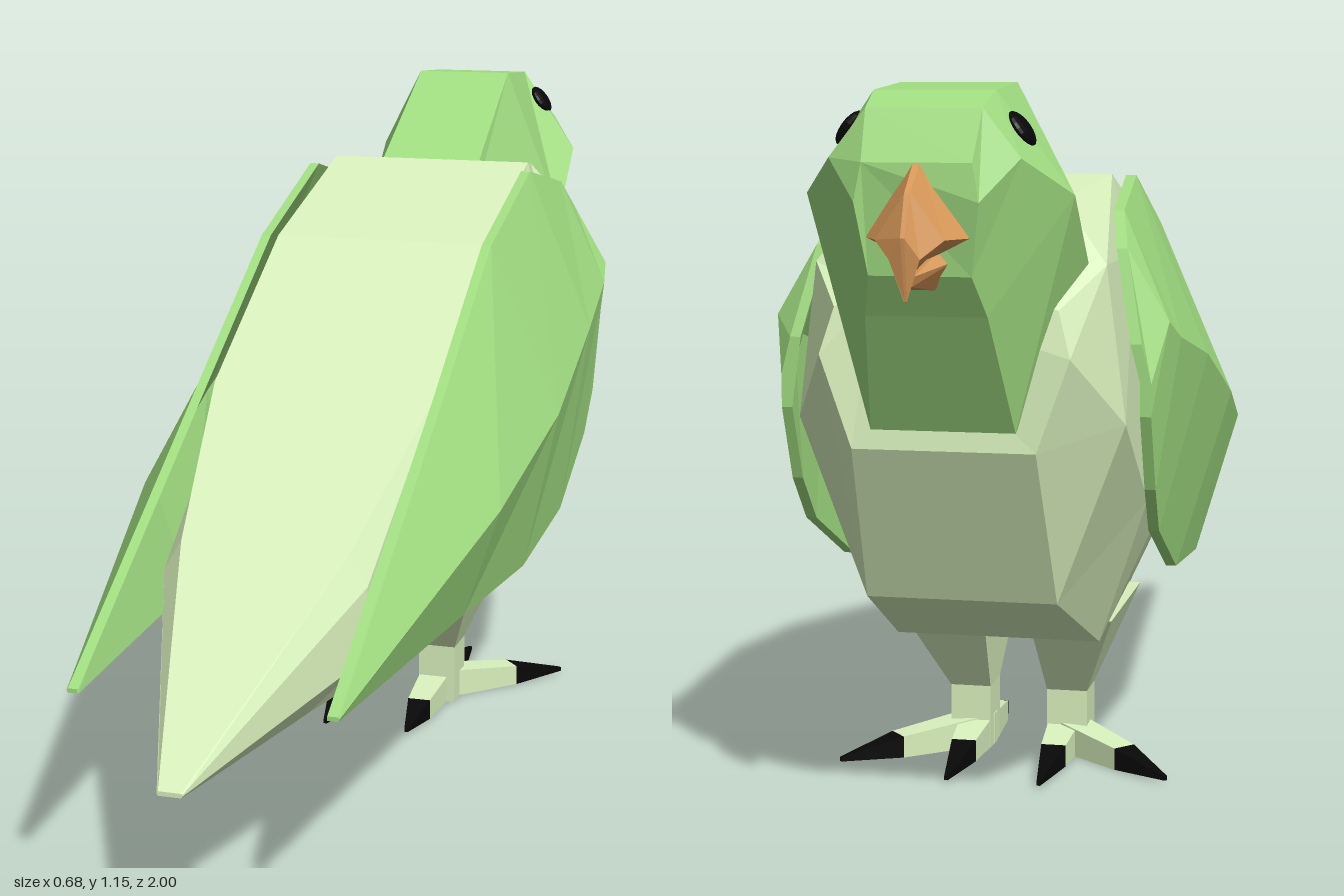
import * as THREE from 'three';

const paint = (color) => new THREE.MeshStandardMaterial({ color, flatShading: true, side: THREE.DoubleSide });
const PALE = paint(0xd8f0bc), GREEN = paint(0xa0dc80), ORANGE = paint(0xd89858), BLACK = paint(0x080808);

// Skin a list of equal-length rings with flat facets and close both ends.
function loft(name, rings, material) {
  const pos = [];
  const n = rings[0].length;
  const tri = (...pts) => pts.forEach((p) => pos.push(...p));
  for (let i = 0; i < rings.length - 1; i++) {
    for (let j = 0; j < n; j++) {
      const k = (j + 1) % n;
      const a = rings[i][j], b = rings[i][k], c = rings[i + 1][k], d = rings[i + 1][j];
      tri(a, d, c);
      tri(a, c, b);
    }
  }
  const first = rings[0], last = rings[rings.length - 1];
  for (let j = 1; j < n - 1; j++) {
    tri(first[0], first[j], first[j + 1]);
    tri(last[0], last[j + 1], last[j]);
  }
  const geometry = new THREE.BufferGeometry();
  geometry.setAttribute('position', new THREE.Float32BufferAttribute(pos, 3));
  geometry.computeVertexNormals();
  const mesh = new THREE.Mesh(geometry, material);
  mesh.name = name;
  return mesh;
}

const flip = ([x, y, z]) => [-x, y, z];
// Complete half sections (listed top to bottom on +x) into closed rings.
const whole = (halves) => halves.map((h) => [...h, ...h.map(flip).reverse()]);
// Mirror rings to the other side, keeping the winding outward.
const sided = (rings, s) => (s > 0 ? rings : rings.map((r) => r.map(flip).reverse()));

// Rectangular ring across z, standing on y0
const box = (w, y0, y1, z) => [[-w, y1, z], [w, y1, z], [w, y0, z], [-w, y0, z]];

function makeToe(name, length, clawLength, angle) {
  const toe = new THREE.Group();
  toe.name = name;
  const joint = clawLength - length;
  toe.add(loft('claw', [box(0.003, 0.005, 0.012, -length), box(0.021, 0, 0.037, joint)], BLACK));
  toe.add(loft('toeBone', [box(0.021, 0, 0.037, joint), box(0.03, 0, 0.055, 0.01)], PALE));
  toe.rotation.y = angle;
  return toe;
}

function makeLeg(s) {
  const leg = new THREE.Group();
  leg.name = s > 0 ? 'leftLeg' : 'rightLeg';
  const level = (y, x0, x1, z0, z1) => [[x0, y, z0], [x1, y, z0], [x1, y, z1], [x0, y, z1]];
  const rings = [
    level(0, 0.05, 0.12, -0.235, -0.16),
    level(0.11, 0.05, 0.12, -0.235, -0.16),
    level(0.26, 0.038, 0.18, -0.34, -0.03),
  ];
  leg.add(loft('shank', sided(rings, s), PALE));
  const foot = new THREE.Group();
  foot.name = 'foot';
  foot.position.set(s * 0.078, 0, -0.2);
  foot.add(
    makeToe('frontToe', 0.25, 0.13, 0),
    makeToe('outerToe', 0.27, 0.11, -s * 0.84),
    makeToe('backToe', 0.23, 0.09, Math.PI),
  );
  leg.add(foot);
  return leg;
}

// Folded wing: a thin curved shell from shoulder to tip
function makeWing(s) {
  const stations = [ // z, then y and x of top rim, ridge and bottom rim
    [-0.64, 0.76, 0.275, 0.70, 0.29, 0.65, 0.29],
    [-0.59, 0.90, 0.245, 0.79, 0.31, 0.53, 0.29],
    [-0.53, 0.955, 0.23, 0.76, 0.32, 0.455, 0.287],
    [-0.32, 1.0, 0.215, 0.71, 0.335, 0.355, 0.285],
    [-0.03, 0.905, 0.213, 0.61, 0.34, 0.325, 0.28],
    [0.3, 0.70, 0.215, 0.52, 0.315, 0.335, 0.255],
    [0.87, 0.355, 0.213, 0.352, 0.215, 0.348, 0.213],
  ];
  const t = 0.017;
  const rings = stations.map(([z, yt, xt, ym, xm, yb, xb]) => [
    [xt - t, yt, z], [xt, yt, z], [xm, ym, z], [xb, yb, z], [xb - t, yb, z], [xm - t, ym, z],
  ]);
  return loft(s > 0 ? 'leftWing' : 'rightWing', sided(rings, s), GREEN);
}

function makeEye(s) {
  const eye = new THREE.Mesh(new THREE.SphereGeometry(0.033, 16, 10), BLACK);
  eye.name = s > 0 ? 'leftEye' : 'rightEye';
  eye.scale.set(0.35, 0.9, 1);
  eye.position.set(s * 0.127, 1.085, -0.807);
  eye.rotation.z = s * 0.63;
  return eye;
}

export function createModel() {
  const bird = new THREE.Group();
  bird.name = 'bird';

  // Body and tail, from chest to tail tip
  bird.add(loft('body', whole([
    [[0.11, 0.84, -0.75], [0.17, 0.82, -0.755], [0.19, 0.75, -0.77], [0.14, 0.61, -0.775]],
    [[0.15, 0.975, -0.62], [0.225, 0.88, -0.66], [0.255, 0.64, -0.66], [0.15, 0.36, -0.66]],
    [[0.19, 1.005, -0.41], [0.225, 0.88, -0.41], [0.25, 0.48, -0.41], [0.17, 0.24, -0.4]],
    [[0.195, 0.9, -0.07], [0.22, 0.78, -0.07], [0.23, 0.42, -0.07], [0.14, 0.21, -0.07]],
    [[0.195, 0.7, 0.27], [0.2, 0.61, 0.27], [0.2, 0.38, 0.27], [0.11, 0.223, 0.27]],
    [[0.14, 0.51, 0.58], [0.17, 0.46, 0.58], [0.175, 0.35, 0.58], [0.07, 0.24, 0.58]],
    [[0.018, 0.265, 1], [0.02, 0.263, 1], [0.02, 0.261, 1], [0.018, 0.258, 1]],
  ]), PALE));

  // Head and neck, from face to nape
  bird.add(loft('head', whole([
    [[0.08, 1.04, -0.92], [0.09, 0.985, -0.925], [0.075, 0.88, -0.905]],
    [[0.085, 1.115, -0.875], [0.14, 1.045, -0.875], [0.09, 0.82, -0.87]],
    [[0.09, 1.14, -0.81], [0.2, 0.99, -0.785], [0.11, 0.64, -0.775]],
    [[0.09, 1.15, -0.66], [0.2, 0.87, -0.66], [0.15, 0.8, -0.72]],
    [[0.095, 1.005, -0.41], [0.1, 0.98, -0.41], [0.08, 0.95, -0.42]],
  ]), GREEN));

  // Hooked upper beak and small lower beak, from tip to base
  bird.add(loft('upperBeak', whole([
    [[0.001, 0.852, -0.985], [0.002, 0.851, -0.985], [0.001, 0.85, -0.984]],
    [[0.003, 0.94, -1], [0.022, 0.91, -0.99], [0.003, 0.885, -0.97]],
    [[0.004, 1.0, -0.972], [0.05, 0.935, -0.96], [0.005, 0.9, -0.945]],
    [[0.005, 1.042, -0.915], [0.075, 0.935, -0.915], [0.005, 0.9, -0.9]],
  ]), ORANGE));
  bird.add(loft('lowerBeak', whole([
    [[0.003, 0.9, -0.962], [0.008, 0.885, -0.962], [0.003, 0.87, -0.96]],
    [[0.03, 0.92, -0.9], [0.045, 0.9, -0.9], [0.02, 0.86, -0.895]],
  ]), ORANGE));

  for (const s of [1, -1]) bird.add(makeWing(s), makeLeg(s), makeEye(s));
  return bird;
}
